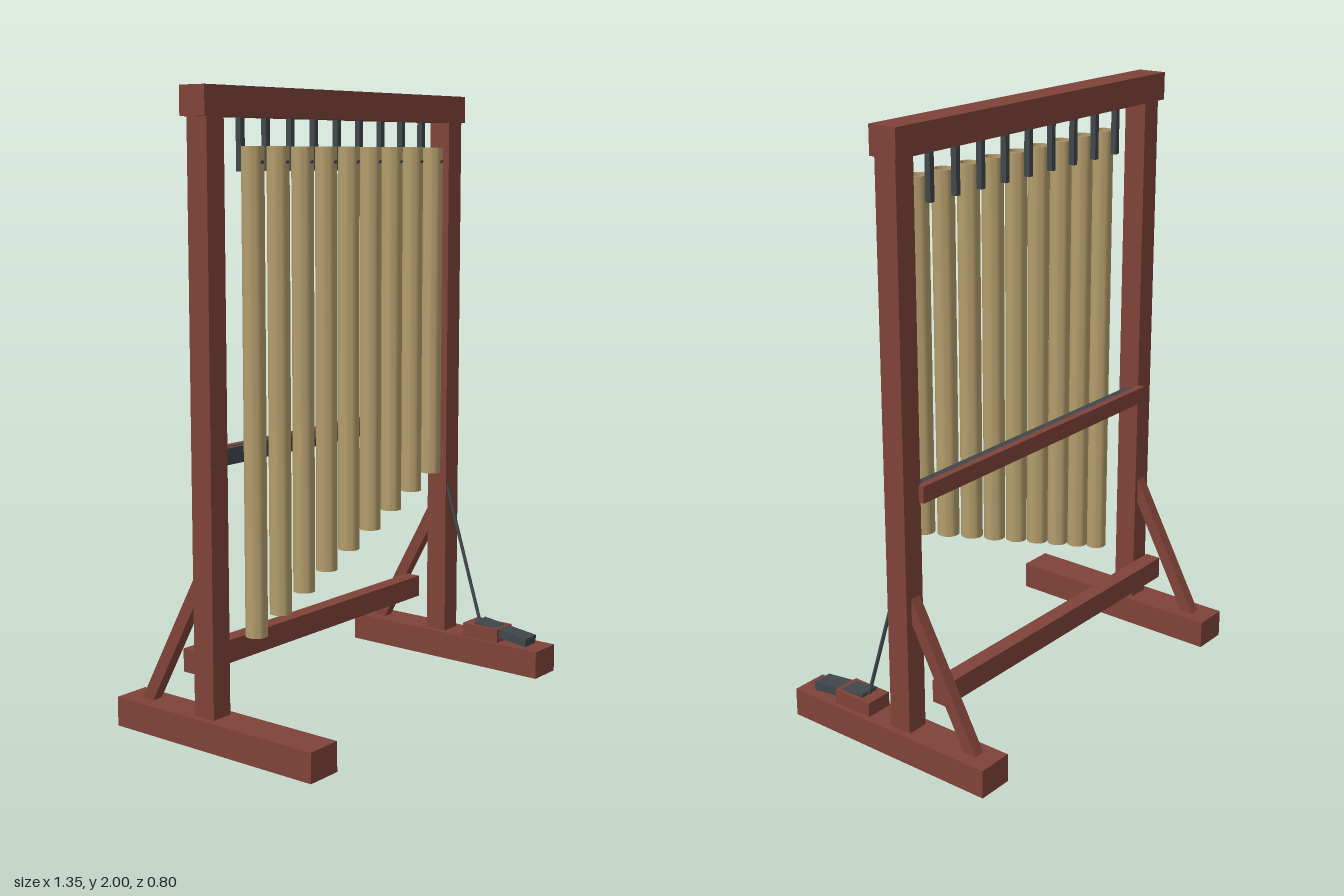
import * as THREE from 'three';
import { toCreasedNormals } from 'three/addons/utils/BufferGeometryUtils.js';

const wood = new THREE.MeshStandardMaterial({ color: 0x7f4238 });
const brass = new THREE.MeshStandardMaterial({ color: 0xb39c6b });
const dark = new THREE.MeshStandardMaterial({ color: 0x40464a });

export function createModel() {
  const model = new THREE.Group();

  const add = (name, geometry, material, parent = model) => {
    const mesh = new THREE.Mesh(geometry, material);
    mesh.name = name;
    parent.add(mesh);
    return mesh;
  };
  // Box given by its extents on each axis
  const box = (name, [x0, x1], [y0, y1], [z0, z1], material = wood, parent = model) => {
    const mesh = add(name, new THREE.BoxGeometry(x1 - x0, y1 - y0, z1 - z0), material, parent);
    mesh.position.set((x0 + x1) / 2, (y0 + y1) / 2, (z0 + z1) / 2);
    return mesh;
  };
  // Round bar between two points
  const rod = (name, a, b, radius, parent = model) => {
    const from = new THREE.Vector3(...a), to = new THREE.Vector3(...b);
    const dir = to.clone().sub(from);
    const mesh = add(name, new THREE.CylinderGeometry(radius, radius, dir.length(), 12), dark, parent);
    mesh.position.copy(from).add(to).multiplyScalar(0.5);
    mesh.quaternion.setFromUnitVectors(new THREE.Vector3(0, 1, 0), dir.normalize());
    return mesh;
  };

  // Frame: beam and cross rails
  box('topBeam', [-0.663, 0.663], [1.91, 2], [-0.098, 0.002]);
  box('lowerRail', [-0.59, 0.59], [0.2, 0.275], [-0.185, -0.13]);
  box('middleRail', [-0.583, 0.583], [0.86, 0.915], [-0.103, -0.078]);
  box('damperPad', [-0.545, 0.545], [0.862, 0.913], [-0.078, -0.052], dark);

  // Feet, posts and diagonal braces, mirrored
  const braceShape = new THREE.Shape([
    [-0.08, 0.56], [-0.335, 0.09], [-0.288, 0.09], [-0.08, 0.473],
  ].map(([z, y]) => new THREE.Vector2(z, y)));
  const braceGeometry = new THREE.ExtrudeGeometry(braceShape, { depth: 0.038, bevelEnabled: false });
  braceGeometry.translate(0, 0, -0.019).rotateY(-Math.PI / 2);
  for (const side of [-1, 1]) {
    const end = new THREE.Group();
    end.name = side > 0 ? 'leftStand' : 'rightStand';
    end.position.x = side * 0.612;
    model.add(end);
    box('foot', [-0.061, 0.061], [0, 0.095], [-0.398, 0.398], wood, end);
    box('post', [-0.037, 0.037], [0.095, 1.91], [-0.083, -0.004], wood, end);
    add('brace', braceGeometry, wood, end).position.x = side * -0.004;
  }

  // Hollow tubes, each pinned to a strap under the beam
  const outer = 0.035, inner = 0.028, tubeTop = 1.825, tubeZ = 0.007;
  for (let i = 0; i < 9; i++) {
    const chime = new THREE.Group();
    chime.name = `chime${i + 1}`;
    chime.position.x = (i - 4) * 0.1155;
    model.add(chime);

    const bottom = 0.321 + i * 0.0473;
    const profile = [
      [inner, bottom], [outer, bottom], [outer, tubeTop], [inner, tubeTop], [inner, bottom],
    ].map(([r, y]) => new THREE.Vector2(r, y));
    const tube = toCreasedNormals(new THREE.LatheGeometry(profile, 28), 0.6);
    add('tube', tube, brass, chime).position.z = tubeZ;

    box('hangerStrap', [-0.009, 0.009], [1.75, 1.915], [-0.052, -0.032], dark, chime);
    rod('hangerPin', [0, 1.778, -0.04], [0, 1.778, 0.047], 0.0055, chime);
  }

  // Damper pedal on the left foot
  box('pedalBlock', [0.56, 0.655], [0.09, 0.143], [0.086, 0.232]);
  const pedal = add('pedal', new THREE.BoxGeometry(0.068, 0.03, 0.216), dark);
  pedal.position.set(0.607, 0.126, 0.234);
  pedal.rotation.x = 0.13;
  rod('pedalRod', [0.607, 0.145, 0.128], [0.588, 0.63, -0.008], 0.006);

  return model;
}
